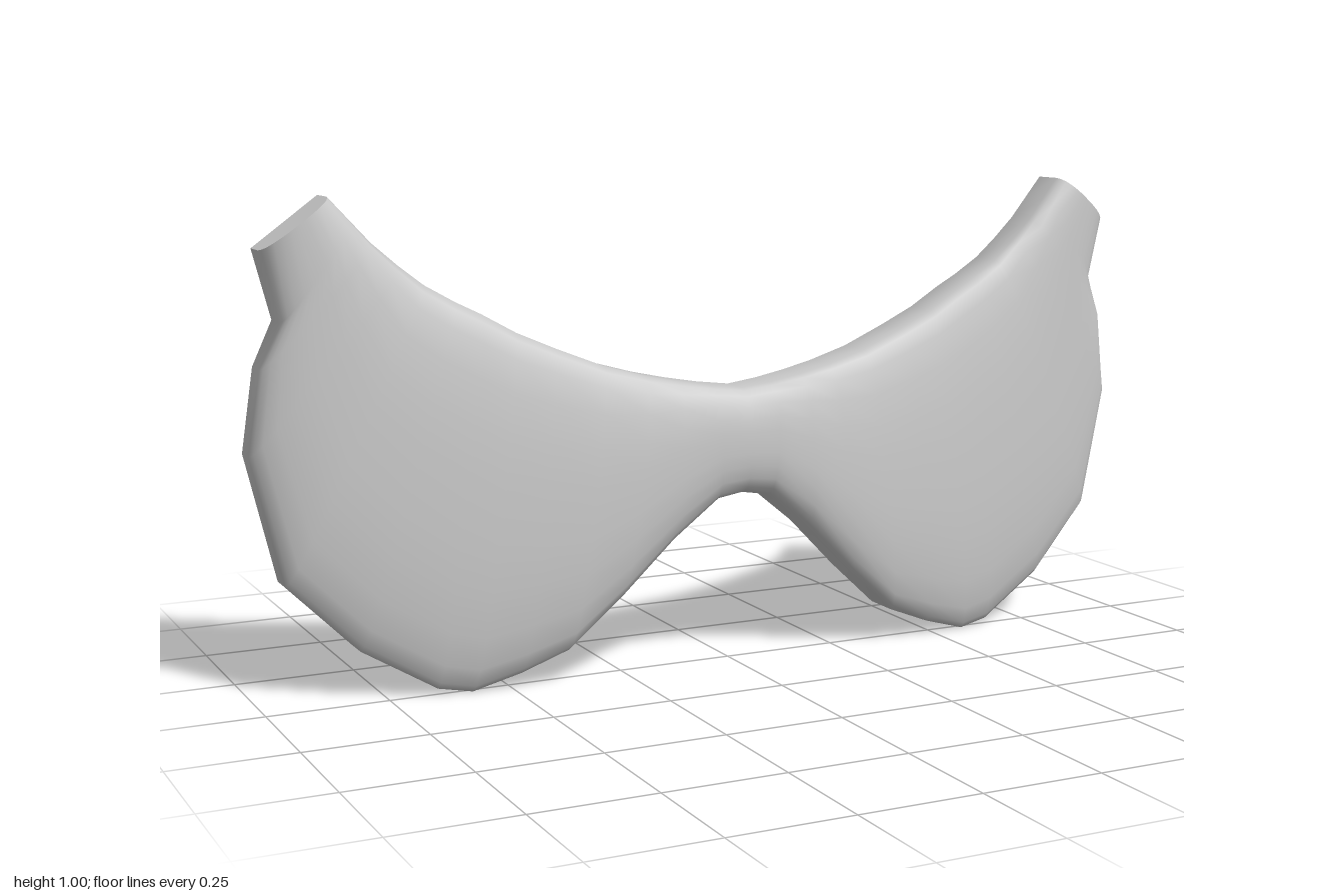
import * as THREE from 'three';

// Matching points on the upper and lower outline, from the middle out to the strap end
const upper = [[0, .59], [.07, .598], [.14, .61], [.21, .625], [.3, .65], [.4, .69], [.48, .725],
  [.55, .765], [.6, .79], [.66, .825], [.71, .865], [.76, .91], [.8, .955], [.84, 1]];
const lower = [[0, .37], [.06, .36], [.16, .28], [.27, .17], [.38, .07], [.48, .03], [.58, 0],
  [.65, .012], [.8, .1], [.94, .24], [1, .5], [.975, .67], [.935, .76], [.97, .9]];

// Steps from upper edge (0) to lower edge (1)
const frontSteps = [0, .02, .07, .16, .28, .4, .5, .6, .72, .84, .93, .98, 1];
const backSteps = [1, .96, .8, .5, .2, .04, 0];

const frontZ = (x, s) => {
  const e = Math.abs(2 * s - 1);
  return .115 - .13 * Math.abs(x) ** 1.6 - .03 * e ** 3 - .018 * e ** 24;
};
const backZ = x => -.115 * Math.abs(x);

// Closed cross-section: down the front, then up the back
function section(i) {
  const side = Math.sign(i), a = upper[Math.abs(i)], b = lower[Math.abs(i)];
  const point = (s, front) => {
    const x = side * (a[0] + (b[0] - a[0]) * s);
    const y = a[1] + (b[1] - a[1]) * s;
    return [x, y, front ? frontZ(x, s) : backZ(x)];
  };
  return [...frontSteps.map(s => point(s, true)), ...backSteps.map(s => point(s, false))];
}

function makeGeometry(points, index) {
  const g = new THREE.BufferGeometry();
  g.setAttribute('position', new THREE.Float32BufferAttribute(points.flat(), 3));
  g.setIndex(index);
  g.computeVertexNormals();
  return g;
}

export function createModel() {
  const group = new THREE.Group();
  group.name = 'chestPiece';
  const material = new THREE.MeshStandardMaterial({ color: 0xcccccc });
  const add = (name, geometry) => {
    const mesh = new THREE.Mesh(geometry, material);
    mesh.name = name;
    group.add(mesh);
  };

  // Padded body, lofted from one strap end to the other
  const last = upper.length - 1, ring = frontSteps.length + backSteps.length;
  const points = [], index = [];
  for (let i = -last; i <= last; i++) {
    points.push(...section(i));
    if (i === last) break;
    const base = (i + last) * ring;
    for (let k = 0; k < ring; k++) {
      const a = base + k, b = base + (k + 1) % ring;
      index.push(a, b, b + ring, a, b + ring, a + ring);
    }
  }
  add('paddedBody', makeGeometry(points, index));

  // Flat caps closing the strap ends
  for (const side of [-1, 1]) {
    const cap = [];
    for (let k = 1; k < ring - 1; k++) cap.push(0, ...(side > 0 ? [k, k + 1] : [k + 1, k]));
    add(side > 0 ? 'leftStrapEnd' : 'rightStrapEnd', makeGeometry(section(side * last), cap));
  }
  return group;
}
